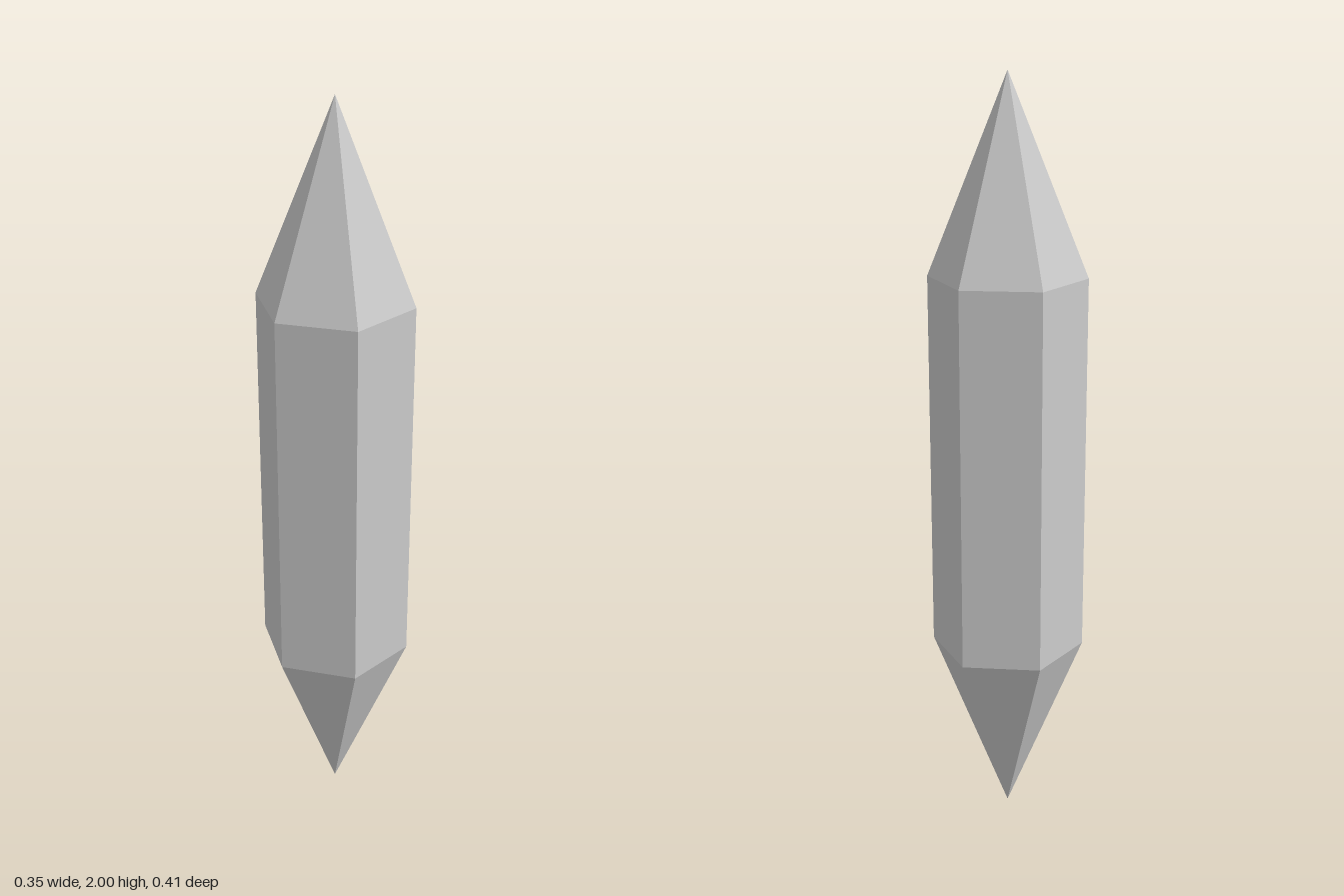
import * as THREE from 'three';

const RADIUS = 0.203;
const SIDES = 6;

export function createModel() {
  const model = new THREE.Group();
  model.name = 'crystal';
  const material = new THREE.MeshStandardMaterial({ color: 0xcccccc, flatShading: true });

  // Open hexagonal section with its corners on the z axis
  const addSection = (name, topRadius, bottomRadius, height, centreY) => {
    const geometry = new THREE.CylinderGeometry(topRadius, bottomRadius, height, SIDES, 1, true);
    const mesh = new THREE.Mesh(geometry, material);
    mesh.name = name;
    mesh.position.y = centreY;
    model.add(mesh);
  };

  addSection('upperPoint', 0, RADIUS, 0.5, 1.75);
  addSection('shaft', RADIUS, RADIUS, 1, 1);
  addSection('lowerPoint', RADIUS, 0, 0.5, 0.25);

  return model;
}
